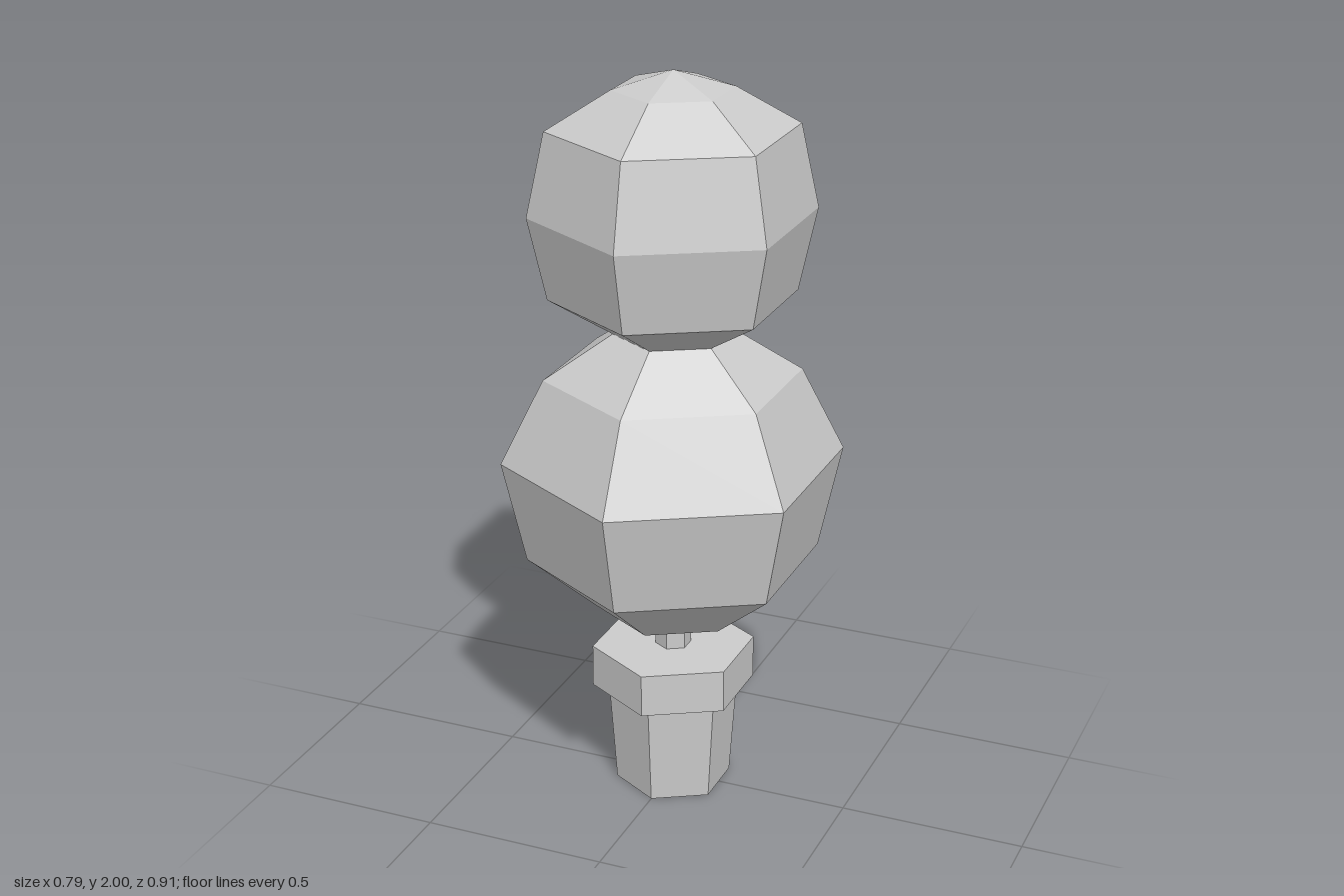
import * as THREE from 'three';

const material = new THREE.MeshStandardMaterial({ color: 0xcccccc, flatShading: true });

// Six-sided turned part from a bottom-to-top [radius, height] profile
function turned(name, profile) {
  const points = profile.map(([r, y]) => new THREE.Vector2(r, y));
  const mesh = new THREE.Mesh(new THREE.LatheGeometry(points, 6), material);
  mesh.name = name;
  return mesh;
}

export function createModel() {
  const group = new THREE.Group();
  group.name = 'pottedTopiary';

  // Tapered pot with a wider rim, closed at the soil level
  group.add(turned('pot', [
    [0, 0], [0.157, 0], [0.176, 0.273], [0.221, 0.291], [0.221, 0.409], [0, 0.409],
  ]));

  // Short stem between the pot and the foliage
  group.add(turned('stem', [[0.049, 0.409], [0.049, 0.475]]));

  // Large lower ball of foliage, open where it meets the upper ball
  group.add(turned('lowerFoliage', [
    [0, 0.473], [0.05, 0.473], [0.195, 0.52], [0.393, 0.68],
    [0.456, 0.96], [0.341, 1.19], [0.158, 1.31],
  ]));

  // Smaller upper ball rising to a shallow point
  group.add(turned('upperFoliage', [
    [0.158, 1.31], [0.325, 1.41], [0.374, 1.63],
    [0.326, 1.853], [0.158, 1.953], [0, 2],
  ]));

  return group;
}
